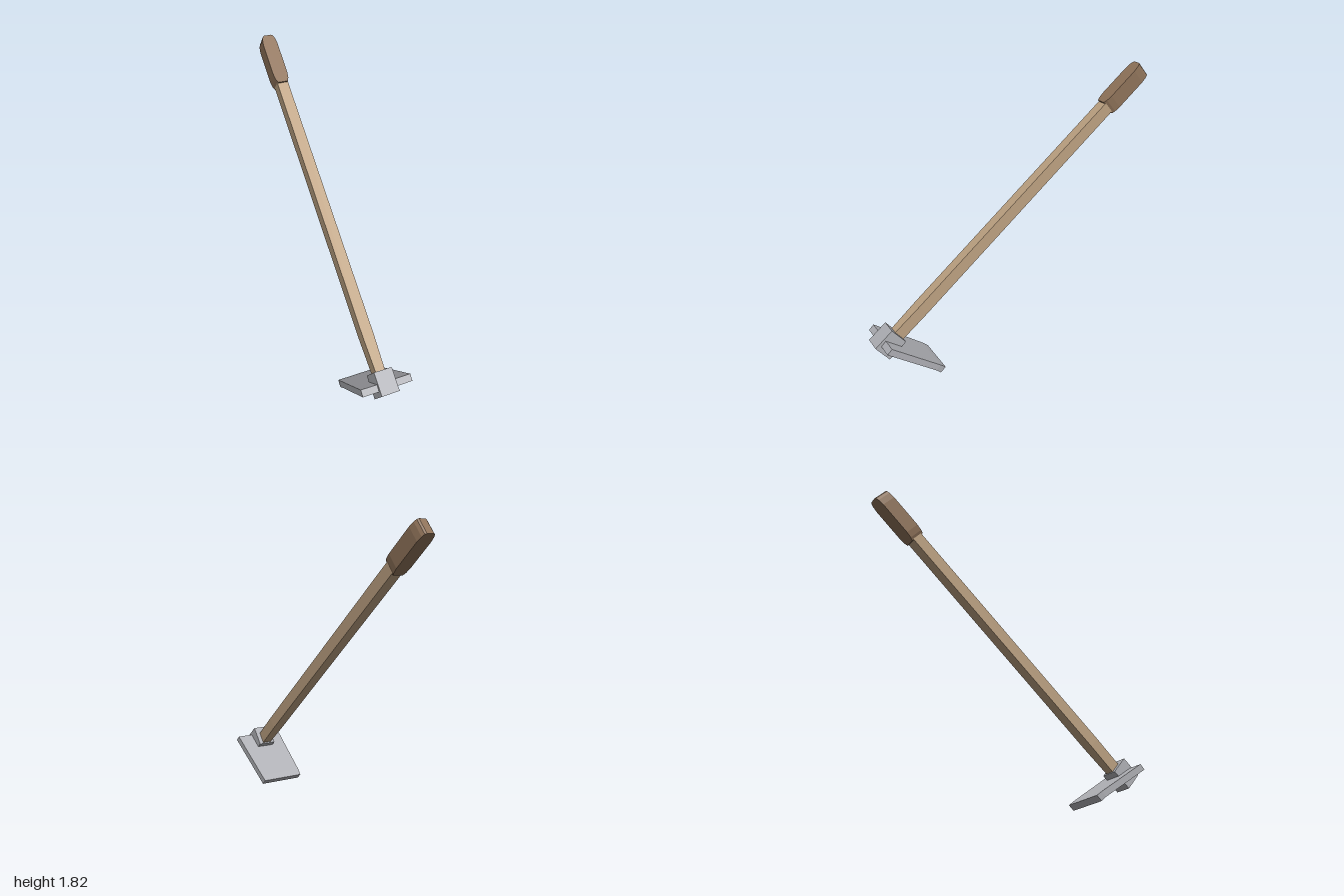
import * as THREE from 'three';

const mat = (color) => new THREE.MeshStandardMaterial({ color, flatShading: true });

// Closed solid through a row of four-cornered sections
function loft(sections) {
  const pos = [];
  const quad = (a, b, c, d) => pos.push(...a, ...b, ...c, ...a, ...c, ...d);
  for (let i = 0; i < sections.length - 1; i++) {
    const a = sections[i], b = sections[i + 1];
    for (let j = 0; j < 4; j++) {
      const k = (j + 1) % 4;
      quad(a[j], a[k], b[k], b[j]);
    }
  }
  quad(...[...sections[0]].reverse());
  quad(...sections[sections.length - 1]);
  const g = new THREE.BufferGeometry();
  g.setAttribute('position', new THREE.Float32BufferAttribute(pos, 3));
  g.computeVertexNormals();
  return g;
}

// Section symmetric in x, given its upper and lower [y, z] points
const section = (w, [y1, z1], [y2, z2]) => [[w, y1, z1], [w, y2, z2], [-w, y2, z2], [-w, y1, z1]];

function add(parent, name, geometry, material) {
  const mesh = new THREE.Mesh(geometry, material);
  mesh.name = name;
  parent.add(mesh);
  return mesh;
}

export function createModel() {
  const model = new THREE.Group();
  model.name = 'hoe';
  const wood = mat(0xbda282), darkWood = mat(0x8f735a), steel = mat(0xb0b1b6);

  // Tilted frame: y runs up along the handle, origin at the middle of the grip
  const handle = new THREE.Group();
  handle.name = 'handle';
  handle.position.set(0, 1.669, -0.827);
  handle.rotation.x = THREE.MathUtils.degToRad(-50);
  model.add(handle);

  // Square shaft, narrowing where it enters the socket
  const shaftRings = [[-2.22, 0.03], [-1.94, 0.037], [-0.15, 0.037]]
    .map(([y, w]) => section(w, [y, 0.04], [y, -0.04]));
  add(handle, 'shaft', loft(shaftRings), wood);

  // Grip: rounded outline extruded through its thickness
  const half = [[0.034, -0.177], [0.044, -0.155], [0.05, -0.115], [0.05, 0.11], [0.044, 0.15], [0.035, 0.17], [0.024, 0.177]];
  const outline = [...half, ...half.map(([x, y]) => [-x, y]).reverse()];
  const gripGeo = new THREE.ExtrudeGeometry(
    new THREE.Shape(outline.map(([x, y]) => new THREE.Vector2(x, y))),
    { depth: 0.107, bevelEnabled: false });
  gripGeo.translate(0, 0, -0.0535);
  add(handle, 'grip', gripGeo, darkWood);

  // Socket block at the foot of the handle
  add(handle, 'socket', new THREE.BoxGeometry(0.12, 0.149, 0.136), steel)
    .position.set(0, -2.237, 0.019);

  // Blade, tapering and bending slightly at the cutting edge
  add(model, 'blade', loft([
    section(0.168, [0.286, 0.93], [0.254, 0.961]),
    section(0.152, [0.061, 0.607], [0.03, 0.638]),
    section(0.147, [0.032, 0.571], [0, 0.606]),
  ]), steel);

  return model;
}
